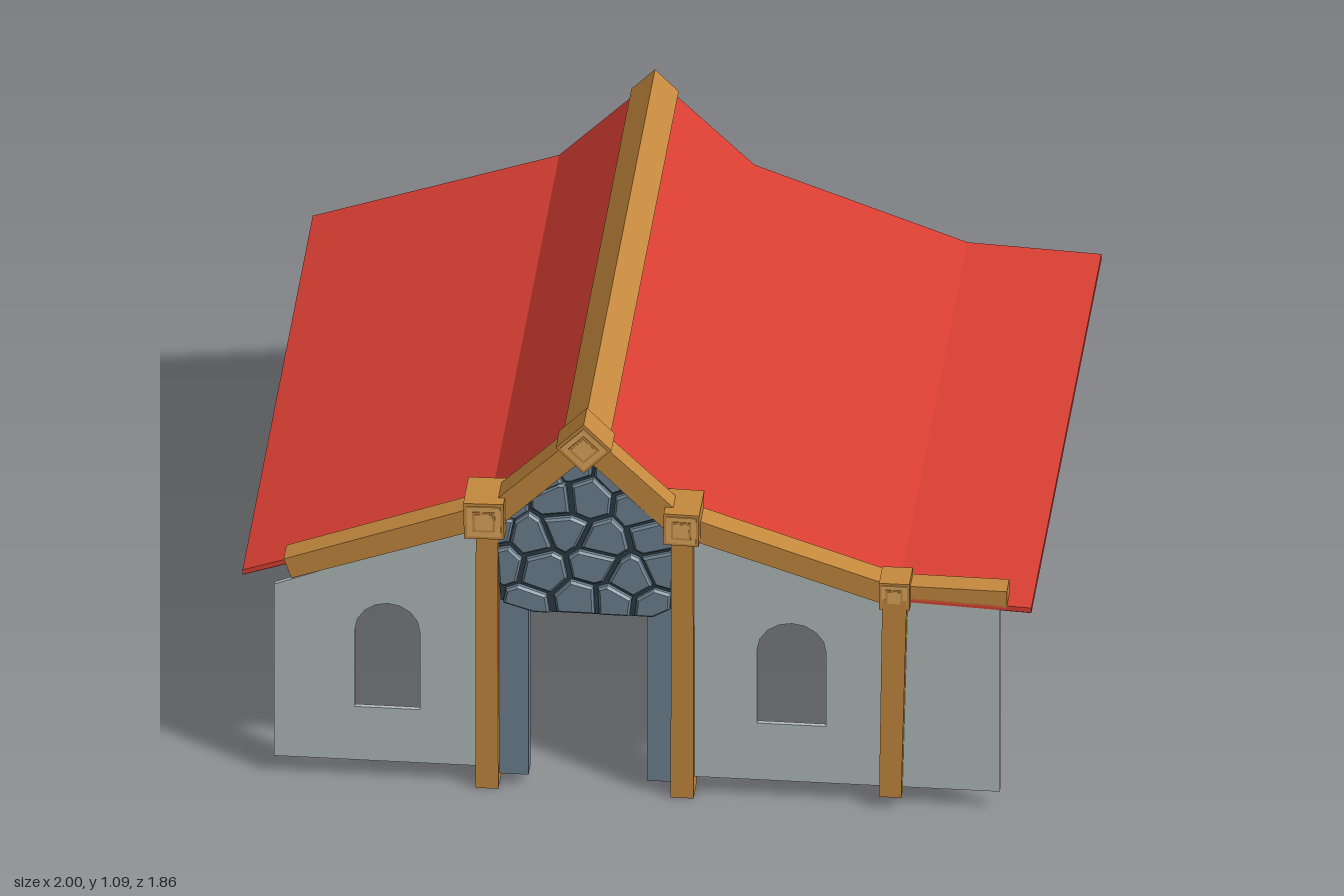
import * as THREE from 'three';

const paint = (color) => new THREE.MeshStandardMaterial({ color, flatShading: true });
const wood = paint(0xc68a3e), paleWood = paint(0xe0a95f), red = paint(0xdb3f33);
const plaster = paint(0xb4bdbd), stone = paint(0x6f8392), mortar = paint(0x2c3b45);

const toShape = (pts) => new THREE.Shape(pts.map(([x, y]) => new THREE.Vector2(x, y)));

function add(parent, name, geometry, material) {
  const mesh = new THREE.Mesh(geometry, material);
  mesh.name = name;
  parent.add(mesh);
  return mesh;
}

// Flat panel in the xy plane between z0 and z1
function panel(parent, name, shape, z0, z1, material) {
  const geo = new THREE.ExtrudeGeometry(shape, { depth: z1 - z0, bevelEnabled: false, curveSegments: 6 });
  geo.translate(0, 0, z0);
  return add(parent, name, geo, material);
}

// Rough timber from a to b, width w0 to w1, between z0 and z1
function beam(parent, name, a, b, w0, w1, z0, z1) {
  const dx = b[0] - a[0], dy = b[1] - a[1];
  const geo = new THREE.BoxGeometry(1, Math.hypot(dx, dy), z1 - z0);
  const p = geo.attributes.position;
  for (let i = 0; i < p.count; i++) p.setX(i, p.getX(i) * (p.getY(i) < 0 ? w0 : w1));
  geo.rotateZ(-Math.atan2(dx, dy));
  geo.translate((a[0] + b[0]) / 2, (a[1] + b[1]) / 2, (z0 + z1) / 2);
  return add(parent, name, geo, wood);
}

// Square joint block with stepped square plates on its front
function joint(parent, name, x, y, size, z0, z1, turn = 0) {
  const block = new THREE.Group();
  block.name = name;
  block.position.set(x, y, 0);
  block.rotation.z = turn;
  [[1, z0, z1 - 0.006, wood], [0.84, z1 - 0.006, z1 - 0.003, paleWood],
    [0.56, z1 - 0.003, z1 - 0.001, wood], [0.44, z1 - 0.003, z1, paleWood]].forEach(([k, a, b, mat], i) => {
    const geo = new THREE.BoxGeometry(size * k, size * k, b - a);
    geo.translate(0, 0, (a + b) / 2);
    add(block, i ? 'jointPlate' : 'jointBlock', geo, mat);
  });
  parent.add(block);
}

// Arched window opening
function arch(x0, x1, y0, shoulder, top) {
  const c = (x0 + x1) / 2, w = (x1 - x0) / 2;
  const pts = [[x0, y0], [x1, y0]];
  for (let i = 0; i <= 8; i++) {
    const t = Math.PI * i / 8;
    pts.push([c + w * Math.cos(t), shoulder + (top - shoulder) * Math.sin(t)]);
  }
  return toShape(pts);
}

// Keep the part of a convex polygon nearer to s than to t
function clipCell(poly, s, t) {
  const nx = t[0] - s[0], ny = t[1] - s[1];
  const side = (q) => (q[0] - (s[0] + t[0]) / 2) * nx + (q[1] - (s[1] + t[1]) / 2) * ny;
  const out = [];
  poly.forEach((q, i) => {
    const r = poly[(i + 1) % poly.length], a = side(q), b = side(r);
    if (a <= 0) out.push(q);
    if (a * b < 0) {
      const k = a / (a - b);
      out.push([q[0] + (r[0] - q[0]) * k, q[1] + (r[1] - q[1]) * k]);
    }
  });
  return out;
}

// Irregular fieldstones filling the gable
function stonework(parent, outline) {
  const group = new THREE.Group();
  group.name = 'gableStones';
  let seed = 11;
  const rand = () => (seed = (seed * 16807) % 2147483647) / 2147483647;
  const sites = [];
  for (let row = 0; row < 5; row++) {
    for (let col = 0; col < 5; col++) {
      sites.push([-0.375 + 0.105 * (col + (row % 2) * 0.5) + (rand() - 0.5) * 0.07,
        0.55 + 0.097 * row + (rand() - 0.5) * 0.06]);
    }
  }
  sites.forEach((s) => {
    let cell = outline;
    for (const t of sites) if (t !== s) cell = clipCell(cell, s, t);
    if (cell.length < 3) return;
    const cx = cell.reduce((n, q) => n + q[0], 0) / cell.length;
    const cy = cell.reduce((n, q) => n + q[1], 0) / cell.length;
    const reach = Math.min(...cell.map((q) => Math.hypot(q[0] - cx, q[1] - cy)));
    if (reach < 0.022) return;
    const k = 0.76;
    const geo = new THREE.ExtrudeGeometry(toShape(cell.map((q) => [cx + (q[0] - cx) * k, cy + (q[1] - cy) * k])),
      { depth: 0.01, bevelThickness: 0.006, bevelSize: 0.006, bevelSegments: 1 });
    geo.translate(0, 0, 0.862 + rand() * 0.006);
    add(group, 'stone', geo, stone);
  });
  parent.add(group);
}

export function createModel() {
  const model = new THREE.Group();
  model.name = 'house';

  // Folded roof with a grey lining
  const slope = [[-1, 0.587], [-0.375, 0.8], [-0.13, 1.04], [0.12, 0.8], [0.66, 0.605], [1, 0.59]];
  const sheet = (top, bottom) => toShape([
    ...slope.map(([x, y]) => [x, y - bottom]),
    ...slope.map(([x, y]) => [x, y - top]).reverse(),
  ]);
  panel(model, 'roof', sheet(0, 0.014), -0.93, 0.86, red);
  panel(model, 'roofLining', sheet(0.013, 0.017), -0.926, 0.856, plaster);

  // Ridge beam set on its corner
  const ridge = new THREE.BoxGeometry(0.085, 0.085, 1.76);
  ridge.rotateZ(Math.PI / 4);
  ridge.translate(-0.13, 1.015, -0.03);
  add(model, 'ridgeBeam', ridge, wood);

  // Plaster front walls with arched windows
  const rightWall = toShape([[-0.92, 0.05], [-0.37, 0.05], [-0.37, 0.765], [-0.92, 0.55]]);
  rightWall.holes.push(arch(-0.715, -0.55, 0.205, 0.43, 0.51));
  panel(model, 'rightWall', rightWall, 0.847, 0.86, plaster);
  const leftWall = toShape([[0.11, 0.05], [0.92, 0.05], [0.92, 0.58], [0.66, 0.59], [0.11, 0.775]]);
  leftWall.holes.push(arch(0.305, 0.48, 0.215, 0.43, 0.51));
  panel(model, 'leftWall', leftWall, 0.847, 0.86, plaster);

  // Gable wall, door frame and stones
  panel(model, 'gableWall', toShape([[-0.37, 0.515], [0.11, 0.515], [0.11, 0.78], [-0.13, 1.0], [-0.37, 0.78]]),
    0.835, 0.855, stone);
  const gable = [[-0.345, 0.54], [-0.25, 0.512], [0.04, 0.512], [0.09, 0.54], [0.105, 0.765], [-0.13, 0.985], [-0.36, 0.765]];
  panel(model, 'mortarBed', toShape(gable), 0.85, 0.864, mortar);
  stonework(model, gable);
  panel(model, 'doorFrame', toShape([[-0.36, 0.03], [-0.275, 0.03], [-0.275, 0.51], [0.025, 0.51],
    [0.025, 0.03], [0.1, 0.03], [0.1, 0.56], [-0.36, 0.56]]), 0.805, 0.858, stone);

  // Posts
  beam(model, 'rightDoorPost', [-0.378, 0], [-0.378, 0.8], 0.058, 0.056, 0.803, 0.885);
  beam(model, 'leftDoorPost', [0.117, 0], [0.117, 0.8], 0.058, 0.056, 0.803, 0.885);
  beam(model, 'leftOuterPost', [0.645, 0.035], [0.656, 0.61], 0.056, 0.062, 0.815, 0.89);

  // Rafters
  beam(model, 'rightRafter', [-0.885, 0.602], [-0.385, 0.782], 0.058, 0.064, 0.798, 0.868);
  beam(model, 'rightGableRafter', [-0.38, 0.778], [-0.13, 1.02], 0.062, 0.06, 0.812, 0.89);
  beam(model, 'leftGableRafter', [-0.13, 1.02], [0.12, 0.778], 0.06, 0.062, 0.825, 0.885);
  beam(model, 'leftRafter', [0.12, 0.783], [0.655, 0.608], 0.06, 0.058, 0.8, 0.872);
  beam(model, 'leftEaveBeam', [0.655, 0.608], [0.938, 0.608], 0.056, 0.052, 0.797, 0.86);

  // Joint blocks
  joint(model, 'rightJoint', -0.382, 0.8, 0.102, 0.79, 0.93, 0.02);
  joint(model, 'leftJoint', 0.118, 0.8, 0.09, 0.79, 0.925, -0.02);
  joint(model, 'eaveJoint', 0.655, 0.617, 0.077, 0.8, 0.892);
  joint(model, 'ridgeJoint', -0.13, 1.018, 0.1, 0.825, 0.917, Math.PI / 4);

  return model;
}
